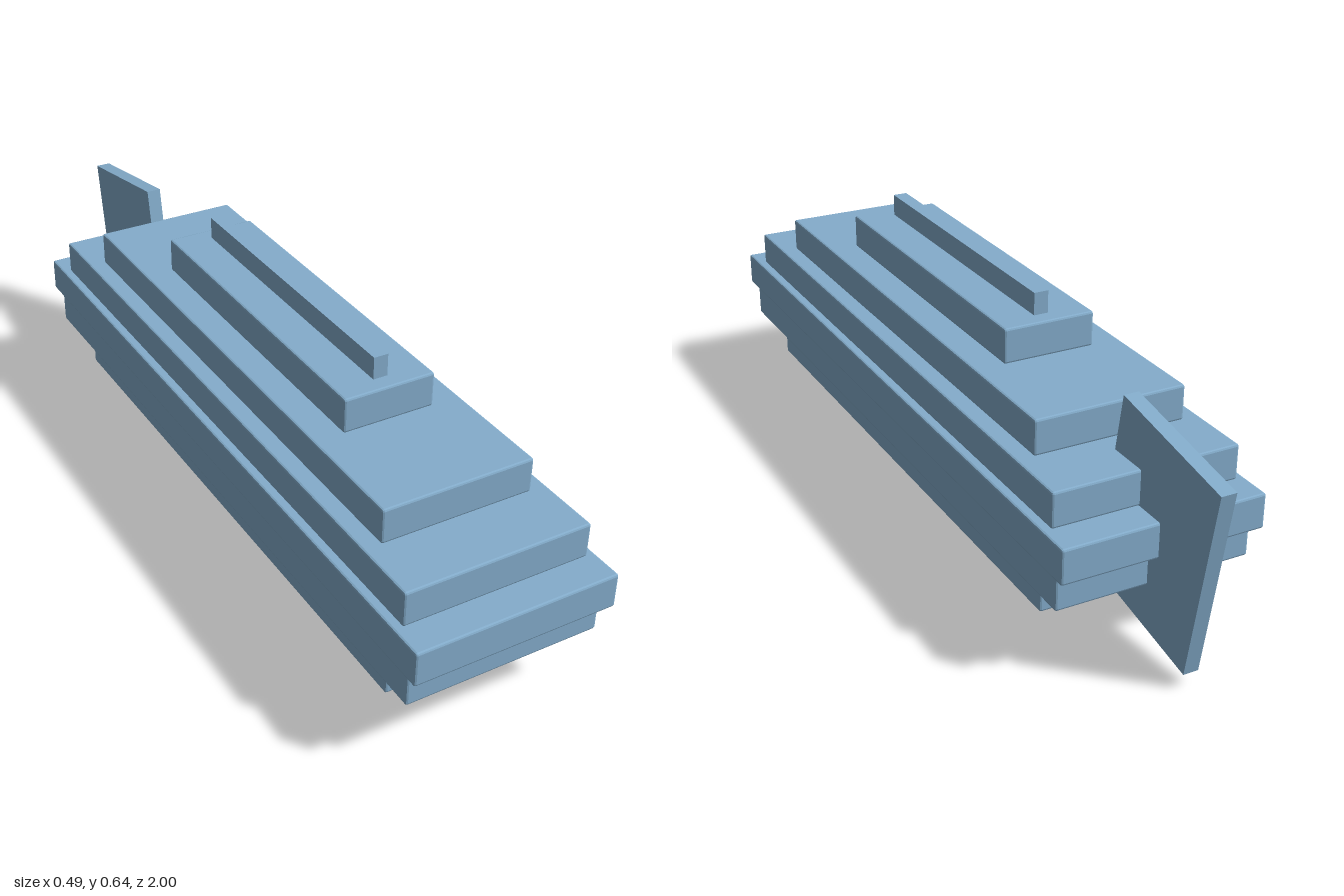
import * as THREE from 'three';
import { RoundedBoxGeometry } from 'three/addons/geometries/RoundedBoxGeometry.js';

export function createModel() {
  const model = new THREE.Group();
  model.name = 'steppedHull';
  const paleBlue = new THREE.MeshStandardMaterial({ color: 0x84adcc });
  paleBlue.name = 'paleBlue';

  const add = (name, geometry, x, y, z) => {
    const mesh = new THREE.Mesh(geometry, paleBlue);
    mesh.name = name;
    mesh.position.set(x, y, z);
    model.add(mesh);
    return mesh;
  };

  // Hull: stacked chamfered slabs, bottom to top [half width, length]
  const slabs = [
    [0.13, 0.96], [0.202, 1.495], [0.235, 1.735], [0.244, 1.807],
    [0.224, 1.653], [0.183, 1.358], [0.112, 0.83],
  ];
  const step = 0.0835;
  const hullZ = 0.096;
  slabs.forEach(([halfWidth, length], i) => {
    const slab = new RoundedBoxGeometry(halfWidth * 2, step, length, 1, 0.005);
    slab.computeVertexNormals(); // flat chamfers
    add(`hullSlab${i + 1}`, slab, 0, step * (i + 0.5), hullZ);
  });

  // Ridge along the top
  add('topRidge', new THREE.BoxGeometry(0.035, 0.064, 0.75), 0, 0.606, hullZ);

  // Tilted fin at the back
  const fin = add('tailFin', new THREE.BoxGeometry(0.036, 0.462, 0.35), 0, 0.295, -0.7865);
  fin.rotation.x = THREE.MathUtils.degToRad(-10);

  return model;
}
